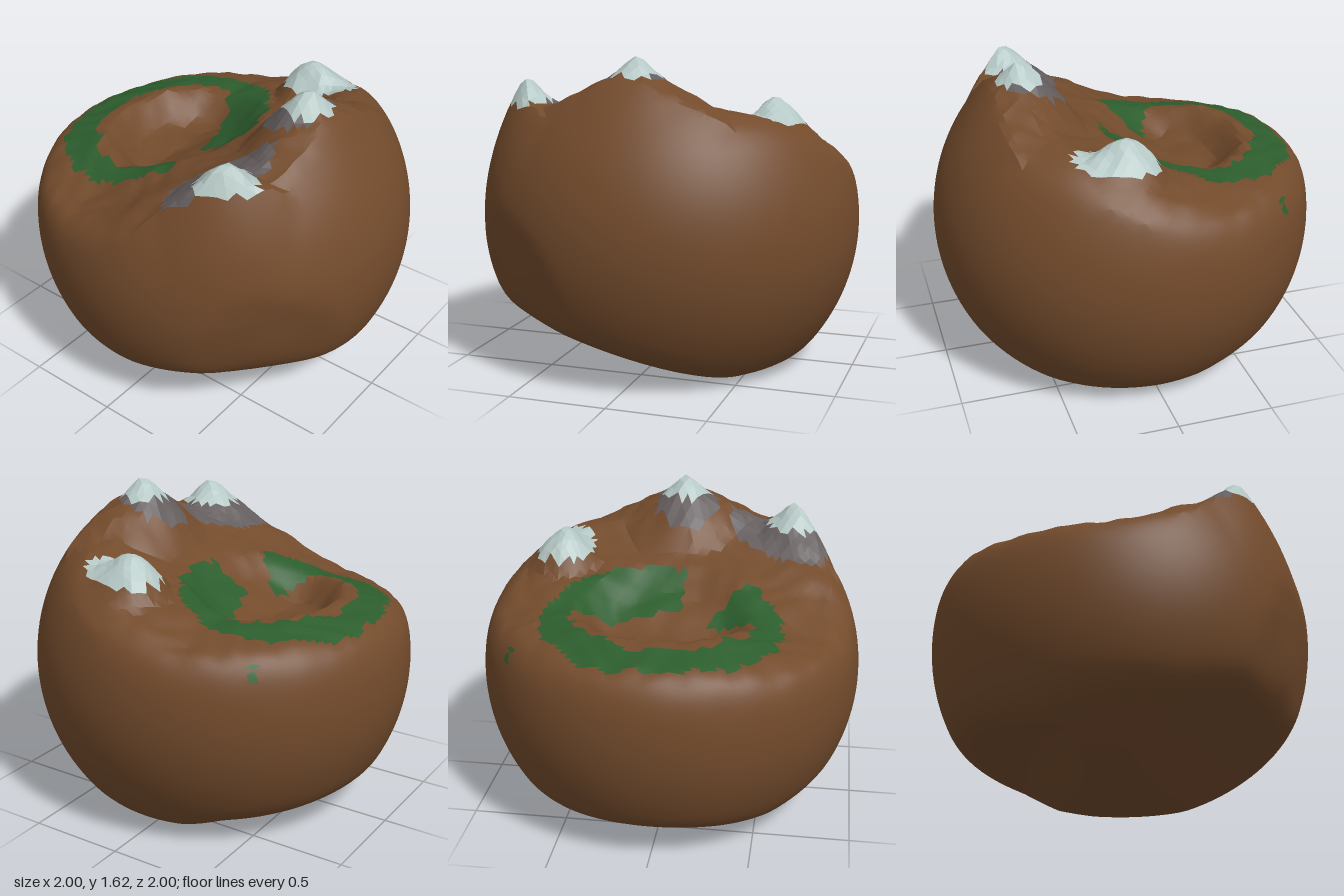
import * as THREE from 'three';
import { toCreasedNormals } from 'three/addons/utils/BufferGeometryUtils.js';

const CY = 0.74; // height of the ball's centre
const { smoothstep, clamp, lerp } = THREE.MathUtils;

// Piecewise linear lookup through [position, value] pairs
function profile(points, t) {
  for (let i = 1; i < points.length; i++) {
    const [a, va] = points[i - 1], [b, vb] = points[i];
    if (t <= b) return lerp(va, vb, clamp((t - a) / (b - a), 0, 1));
  }
  return points[points.length - 1][1];
}
function softMin(a, b, k) {
  const h = Math.max(k - Math.abs(a - b), 0) / k;
  return Math.min(a, b) - h * h * k / 4;
}
const softMax = (a, b, k) => -softMin(-a, -b, k);
const rough = (x, z) => Math.sin(x * 23 + z * 9 + 2 * Math.sin(z * 13)) * Math.sin(z * 21 - x * 8 + 2 * Math.sin(x * 11));

// Peaks: position, height, snow line and radius, stretch along +z, slopes, lift above the ball
const peaks = [
  { x: -0.01, z: 0.52, top: 1.63, snow: 1.51, reach: 0.12, stretch: 1, side: 0.5, back: 1.3, lift: 0.05 },
  { x: -0.62, z: 0.49, top: 1.51, snow: 1.37, reach: 0.15, stretch: 1, side: 0.5, back: 0.9, lift: 0.15 },
  { x: 0.6, z: 0.14, top: 1.42, snow: 1.28, reach: 0.15, stretch: 0.55, side: 1, back: 1.6, lift: 0 },
];
const peakDistance = (p, x, z) => Math.hypot(x - p.x, (z - p.z) * (z > p.z ? p.stretch : 1));
// Elliptical radius about the grass ring, 1 at its outer edge
const ringRadius = (x, z) => Math.hypot(x / 0.6, (z + 0.38) / 0.49);

// Land rises from the rear basin to the front ridge
const land = [[-1, 1.12], [-0.6, 1.14], [-0.3, 1.13], [-0.1, 1.19], [0, 1.21], [0.2, 1.26], [0.45, 1.38], [1, 1.4]];
const bottomZ = [[-0.85, 0.16], [-0.4, 0.1], [-0.2, 0.015], [0, 0], [1, 0]];
const bottomX = [[-0.85, 0.21], [-0.6, 0.13], [-0.4, 0.06], [0, 0.02], [0.5, 0], [1, 0]];
const ringInner = [[-0.7, 0.68], [-0.3, 0.78], [-0.2, 0.52]];

function topHeight(x, z, ball) {
  let ground = profile(land, z) + 0.009 * rough(x, z);
  const floor = Math.hypot(x / 0.48, (z + 0.25) / 0.42);      // sunken crater floor
  ground -= 0.14 * (1 - smoothstep(floor, 0.55, 1)) * (1 - 0.4 * smoothstep(z, -0.3, 0.05));
  const shoulder = 0.05 * smoothstep(Math.hypot(x, z), 0.6, 0.95) + 0.06 * smoothstep(-x, 0.25, 0.7);
  ground -= shoulder * (1 - smoothstep(z, -0.1, 0.2));        // rear rim falls away, more on the right
  let y = softMin(ball, ground, 0.22);
  for (const p of peaks) {
    const d = Math.max(0, peakDistance(p, x, z) - 0.02);
    const slope = z < p.z ? lerp(p.side, p.back, clamp((p.z - z) / (d + 0.02), 0, 1)) : p.side;
    const cone = p.top - Math.min(d, 0.1) * 0.95 - Math.max(d - 0.1, 0) * slope - 0.015 * Math.abs(rough(x, z));
    const limit = ball + p.lift * Math.max(0, 1 - d / 0.3);
    if (d < 0.5) y = Math.max(y, Math.min(cone, limit));
  }
  return y;
}
function bottomHeight(x, z) {
  const u = Math.max(0, (z - x) * 0.7);                       // rising cut towards the front right
  const hollow = 0.06 * (1 - smoothstep(Math.hypot(x, z + 0.48), 0, 0.5));
  return Math.max(profile(bottomZ, z), profile(bottomX, x), 0.36 * u ** 1.2) + hollow;
}

function sculpt() {
  const geometry = new THREE.IcosahedronGeometry(1, 24);
  const pos = geometry.attributes.position, v = new THREE.Vector3();
  const dent = new THREE.Vector3(-0.6, -0.28, 0.75).normalize();
  for (let i = 0; i < pos.count; i++) {
    v.fromBufferAttribute(pos, i);
    v.multiplyScalar(1 - 0.04 * smoothstep(v.dot(dent), 0.91, 1)); // shallow dent in the cheek
    const ball = CY + v.y;
    const y = v.y > 0 ? topHeight(v.x, v.z, ball) : softMax(ball, bottomHeight(v.x, v.z), 0.13);
    pos.setXYZ(i, v.x, Math.max(0, y), v.z);
  }
  return pos;
}

// Which part a face belongs to, by its centre
function partAt({ x, y, z }) {
  if (y < 0.95) return 'soil';
  for (const p of peaks)
    if (y > p.snow && peakDistance(p, x, z) < p.reach) return 'snowCaps';
  if (Math.hypot(x + 0.02, z - 0.47) < 0.17 && z < 0.6) return 'rockFaces';
  if (Math.hypot((x + 0.53) / 0.27, (z - 0.38 - (x + 0.53) * 0.35) / 0.16) < 1) return 'rockFaces';
  const e = ringRadius(x, z) + 0.05 * rough(x, z);
  const gap = x < -0.06 && x + z > -0.39;
  if (e > profile(ringInner, z) && e < 1.03 && !gap) return 'grassRing';
  if (Math.hypot(x - 0.72, z + 0.62) < 0.02) return 'grassRing';
  return 'soil';
}

export function createModel() {
  const group = new THREE.Group();
  const pos = sculpt();
  const colors = { soil: 0x734b2c, grassRing: 0x2c5d2d, snowCaps: 0xb5c8c5, rockFaces: 0x645d5e };
  const faces = { soil: [], grassRing: [], snowCaps: [], rockFaces: [] };
  const a = new THREE.Vector3(), b = new THREE.Vector3(), c = new THREE.Vector3();
  for (let i = 0; i < pos.count; i += 3) {
    [a, b, c].forEach((v, k) => v.fromBufferAttribute(pos, i + k));
    const centre = a.clone().add(b).add(c).divideScalar(3);
    faces[partAt(centre)].push(...a.toArray(), ...b.toArray(), ...c.toArray());
  }
  for (const name in faces) {
    const geometry = new THREE.BufferGeometry();
    geometry.setAttribute('position', new THREE.Float32BufferAttribute(faces[name], 3));
    const faceted = name === 'snowCaps' || name === 'rockFaces';
    const material = new THREE.MeshStandardMaterial({ color: colors[name], flatShading: faceted });
    const mesh = new THREE.Mesh(toCreasedNormals(geometry, 0.35), material);
    mesh.name = name;
    group.add(mesh);
  }
  return group;
}
